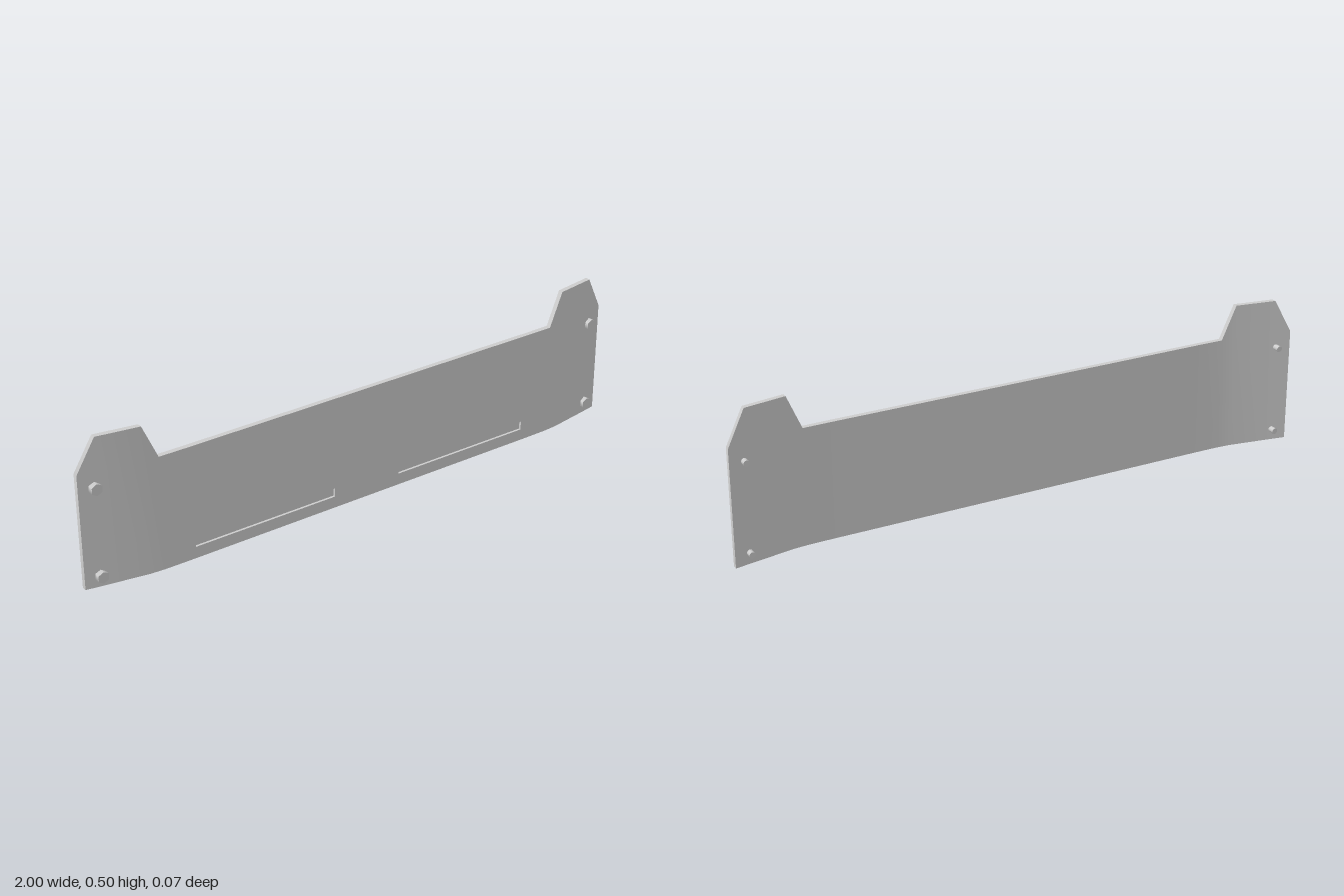
import * as THREE from 'three';
import { toCreasedNormals } from 'three/addons/utils/BufferGeometryUtils.js';

const THICK = 0.017, FRONT = 0.035, FLAT = 0.66, TOP = 0.39, GROOVE = 0.008;

// Loft of rectangular sections [x, top, frontZ], ordered by rising x
function loft(sections) {
  const pos = [], idx = [];
  for (const [x, top, z] of sections)
    pos.push(x, 0, z, x, top, z, x, top, z - THICK, x, 0, z - THICK);
  for (let i = 0; i < sections.length - 1; i++)
    for (let k = 0; k < 4; k++) {
      const a = i * 4 + k, b = i * 4 + (k + 1) % 4;
      idx.push(a, a + 4, b, b, a + 4, b + 4);
    }
  const e = (sections.length - 1) * 4;
  idx.push(0, 1, 2, 0, 2, 3, e, e + 2, e + 1, e, e + 3, e + 2);
  const g = new THREE.BufferGeometry();
  g.setAttribute('position', new THREE.Float32BufferAttribute(pos, 3));
  g.setIndex(idx);
  return toCreasedNormals(g, 0.5);
}

function rect(PathType, x0, x1, y0, y1) {
  return new PathType([[x0, y0], [x1, y0], [x1, y1], [x0, y1]].map(p => new THREE.Vector2(...p)));
}

export function createModel() {
  const model = new THREE.Group();
  const mat = new THREE.MeshStandardMaterial({ color: 0xcccccc });
  const add = (name, geo, parent = model) => {
    const m = new THREE.Mesh(geo, mat);
    m.name = name;
    parent.add(m);
    return m;
  };

  // Flat middle: grooved front layer on a plain back layer
  const face = rect(THREE.Shape, -FLAT, FLAT, 0, TOP);
  for (const [x0, x1] of [[-0.64, -0.125], [0.125, 0.64]])
    face.holes.push(rect(THREE.Path, x0, x1, 0.04, 0.07));
  add('groovedFrontPanel', new THREE.ExtrudeGeometry(face, { depth: GROOVE, bevelEnabled: false }))
    .position.z = FRONT - GROOVE;
  const backDepth = THICK - GROOVE;
  add('backPanel', new THREE.BoxGeometry(FLAT * 2, TOP, backDepth))
    .position.set(0, TOP / 2, FRONT - THICK + backDepth / 2);

  // Bent end wings with raised tabs
  const wing = [
    [FLAT, TOP, FRONT], [0.75, TOP, 0.034], [0.8, 0.505, 0.03],
    [0.94, 0.505, 0.006], [1, TOP, -0.005],
  ];
  add('leftWing', loft(wing));
  add('rightWing', loft(wing.map(([x, t, z]) => [-x, t, z]).reverse()));

  // Hex bolts through the wings
  const headGeo = new THREE.CylinderGeometry(0.02, 0.02, 0.021, 6).rotateX(Math.PI / 2);
  const shankGeo = new THREE.CylinderGeometry(0.01, 0.01, 0.04, 12).rotateX(Math.PI / 2);
  for (const x of [-0.95, 0.95])
    for (const y of [0.038, 0.339]) {
      const bolt = new THREE.Group();
      bolt.name = 'bolt';
      bolt.position.set(x, y, 0);
      add('boltHead', headGeo, bolt).position.z = 0.0105;
      add('boltShank', shankGeo, bolt).position.z = -0.015;
      model.add(bolt);
    }
  return model;
}
